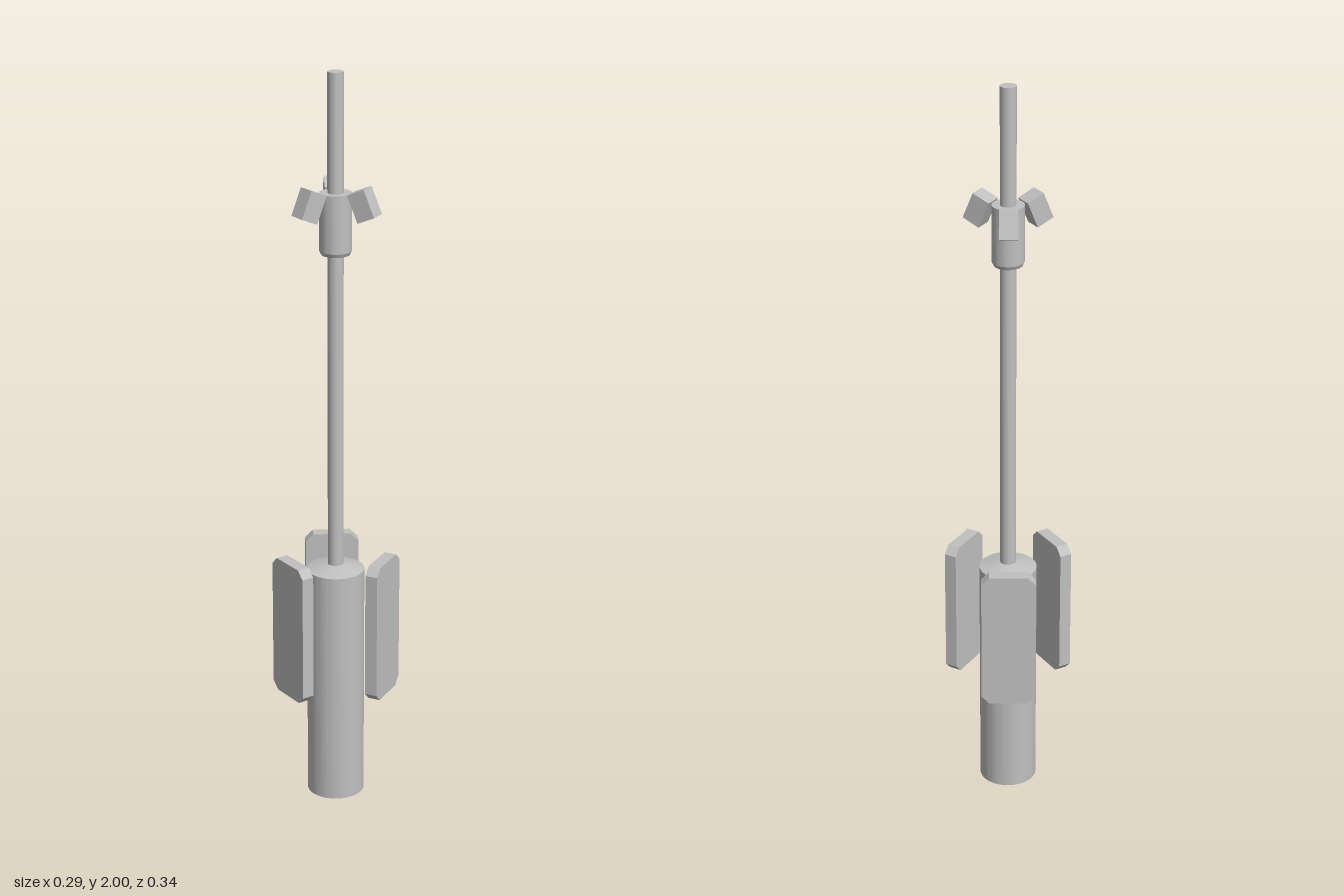
import * as THREE from 'three';
import { toCreasedNormals } from 'three/addons/utils/BufferGeometryUtils.js';

export function createModel() {
  const model = new THREE.Group();
  const grey = new THREE.MeshStandardMaterial({ color: 0xc0c0c0 });
  grey.name = 'plain grey';

  const add = (parent, name, geometry) => {
    const mesh = new THREE.Mesh(geometry, grey);
    mesh.name = name;
    parent.add(mesh);
    return mesh;
  };

  // Turned parts: profile of [radius, height] pairs from bottom to top
  const turned = (profile) => toCreasedNormals(
    new THREE.LatheGeometry(profile.map(([r, y]) => new THREE.Vector2(r, y)), 48), 0.2);

  // Everything is arranged around a vertical axis slightly left of centre
  const mast = new THREE.Group();
  mast.name = 'mast';
  mast.position.x = -0.008;
  model.add(mast);

  add(mast, 'base', turned([[0, 0], [0.077, 0], [0.077, 0.656], [0, 0.676]]));
  add(mast, 'rod', turned([[0, 0.64], [0.021, 0.64], [0.021, 2], [0, 2]]));
  add(mast, 'collar', turned([[0, 1.528], [0.037, 1.528], [0.042, 1.538], [0.042, 1.69], [0, 1.69]]));

  // Upright plate with clipped corners
  const w = 0.072, low = 0.318, high = 0.704, c = 0.021;
  const outline = new THREE.Shape([
    [-w + c, low], [w - c, low], [w, low + c], [w, high - c],
    [w - c, high], [-w + c, high], [-w, high - c], [-w, low + c],
  ].map(([x, y]) => new THREE.Vector2(x, y)));
  const panelGeometry = new THREE.ExtrudeGeometry(outline, { depth: 0.034, bevelEnabled: false });
  panelGeometry.rotateY(Math.PI / 2).translate(0.121, 0, 0);

  // Tilted block on the collar
  const blockGeometry = new THREE.BoxGeometry(0.05, 0.076, 0.048);
  blockGeometry.rotateZ(0.4).translate(0.081, 1.667, 0);

  // Three equal sides, the first facing +x
  for (let i = 0; i < 3; i++) {
    const side = new THREE.Group();
    side.name = 'side' + (i + 1);
    side.rotation.y = i * Math.PI * 2 / 3;
    add(side, 'panel', panelGeometry);
    add(side, 'collarBlock', blockGeometry);
    mast.add(side);
  }

  return model;
}
